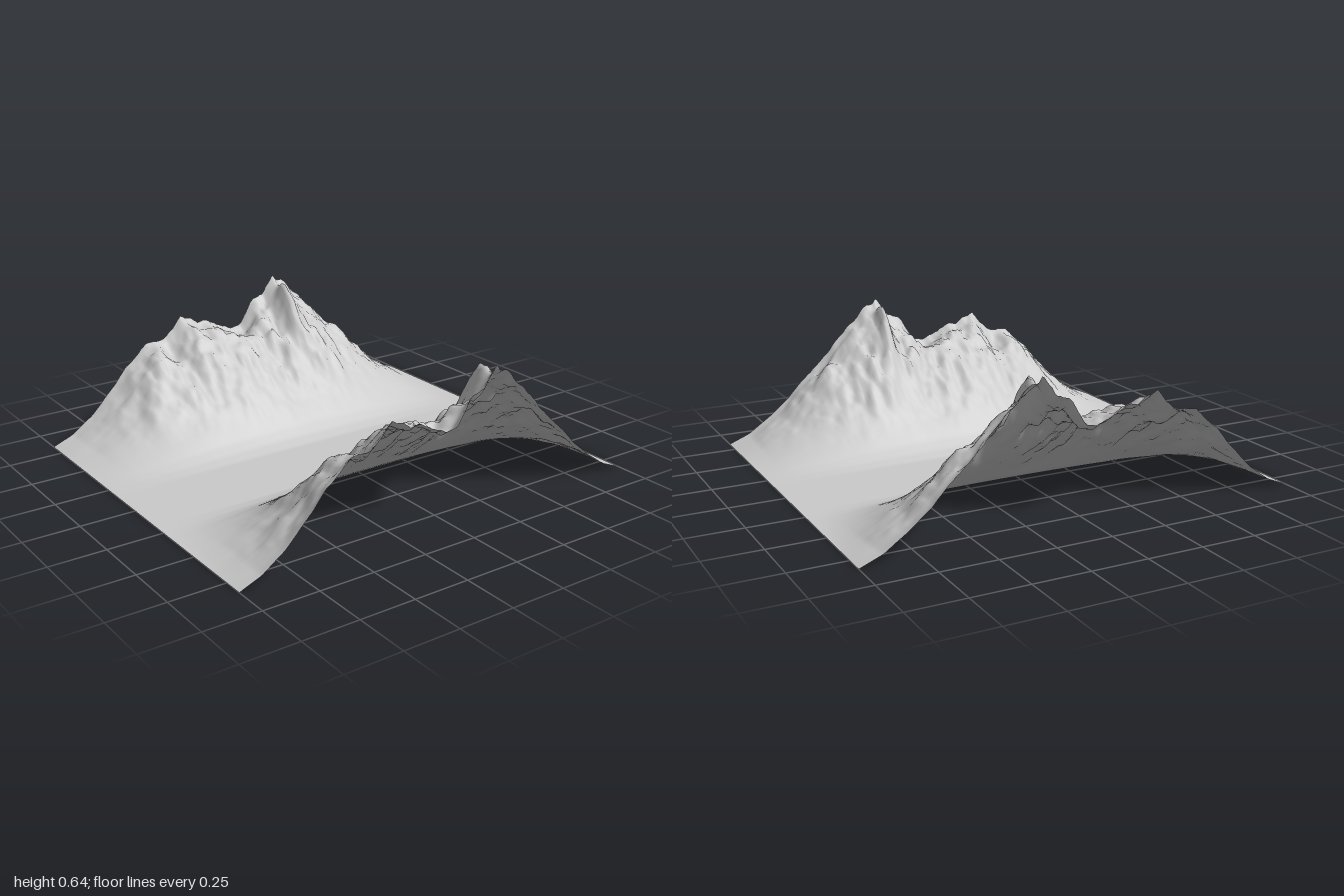
import * as THREE from 'three';

const HALF_X = 0.84;

// Ridge height along z at the outer border: [z, height]
const RIDGE = [
  [-1, 0], [-0.9, 0.04], [-0.8, 0.11], [-0.7, 0.19], [-0.6, 0.29], [-0.5, 0.385], [-0.4, 0.5],
  [-0.3, 0.58], [-0.23, 0.63], [-0.17, 0.565], [-0.1, 0.53], [-0.03, 0.42], [0.03, 0.41],
  [0.1, 0.445], [0.2, 0.475], [0.3, 0.52], [0.36, 0.46], [0.42, 0.42], [0.5, 0.4], [0.6, 0.32],
  [0.7, 0.21], [0.8, 0.11], [0.9, 0.04], [1, 0],
];

// Share of the ridge height across the slope: [distance from the valley axis, share]
const SLOPE = [
  [0, 0], [0.19, 0], [0.25, 0.03], [0.3, 0.09], [0.4, 0.27], [0.5, 0.47], [0.6, 0.68],
  [0.7, 0.87], [0.76, 0.91], [0.8, 0.93], [0.84, 1],
];

function sample(table, t) {
  let i = 1;
  while (i < table.length - 1 && table[i][0] < t) i++;
  const [a, va] = table[i - 1], [b, vb] = table[i];
  return THREE.MathUtils.mapLinear(THREE.MathUtils.clamp(t, a, b), a, b, va, vb);
}

// Repeatable value noise in -1..1
function hash(i, j) {
  const s = Math.sin(i * 127.1 + j * 311.7) * 43758.5453;
  return (s - Math.floor(s)) * 2 - 1;
}
function noise(x, y) {
  const i = Math.floor(x), j = Math.floor(y);
  const u = THREE.MathUtils.smoothstep(x - i, 0, 1);
  const v = THREE.MathUtils.smoothstep(y - j, 0, 1);
  const { lerp } = THREE.MathUtils;
  return lerp(lerp(hash(i, j), hash(i + 1, j), u), lerp(hash(i, j + 1), hash(i + 1, j + 1), u), v);
}
function fbm(x, y) {
  let sum = 0;
  for (let o = 0, f = 1, a = 0.55; o < 4; o++, f *= 2, a *= 0.5) sum += a * noise(x * f + o * 17, y * f + o * 9);
  return sum;
}

// Height of the mountain range on either side of the flat valley
function heightAt(x, z) {
  const ax = Math.min(Math.abs(x), HALF_X);
  const share = sample(SLOPE, ax);
  if (share <= 0 || Math.abs(z) >= 1) return 0;
  const inner = THREE.MathUtils.smoothstep(HALF_X - ax, 0, 0.12);
  const body = 1 - z * z;

  // Spurs bend and wander as they run down to the valley
  const bend = (0.22 * (HALF_X - ax) + 0.05 * inner * fbm(ax * 8 + 3, z * 6)) * body;
  const ridge = Math.max(sample(RIDGE, z + bend), 0.001);
  const dome = 0.58 * Math.pow(body, 1.5);
  const w = THREE.MathUtils.smoothstep(ax, 0.2, 0.8);
  const base = Math.pow(ridge, w) * Math.pow(dome, 1 - w) * share;

  // Gullies down the slopes and rough crests
  const rough = fbm(ax * 6, z * 13) * (0.03 + 0.15 * inner);
  const fine = fbm(ax * 22 + 40, z * 24) * 0.035;
  return base * (1 + (rough + fine) * THREE.MathUtils.smoothstep(base, 0, 0.2));
}

export function createModel() {
  const group = new THREE.Group();
  group.name = 'mountainValley';

  const geometry = new THREE.PlaneGeometry(HALF_X * 2, 2, 144, 172);
  geometry.rotateX(-Math.PI / 2);
  const p = geometry.attributes.position;
  for (let i = 0; i < p.count; i++) p.setY(i, heightAt(p.getX(i), p.getZ(i)));
  geometry.computeVertexNormals();

  const terrain = new THREE.Mesh(
    geometry,
    new THREE.MeshStandardMaterial({ color: 0xcccccc, side: THREE.DoubleSide }),
  );
  terrain.name = 'terrain';
  group.add(terrain);
  return group;
}
